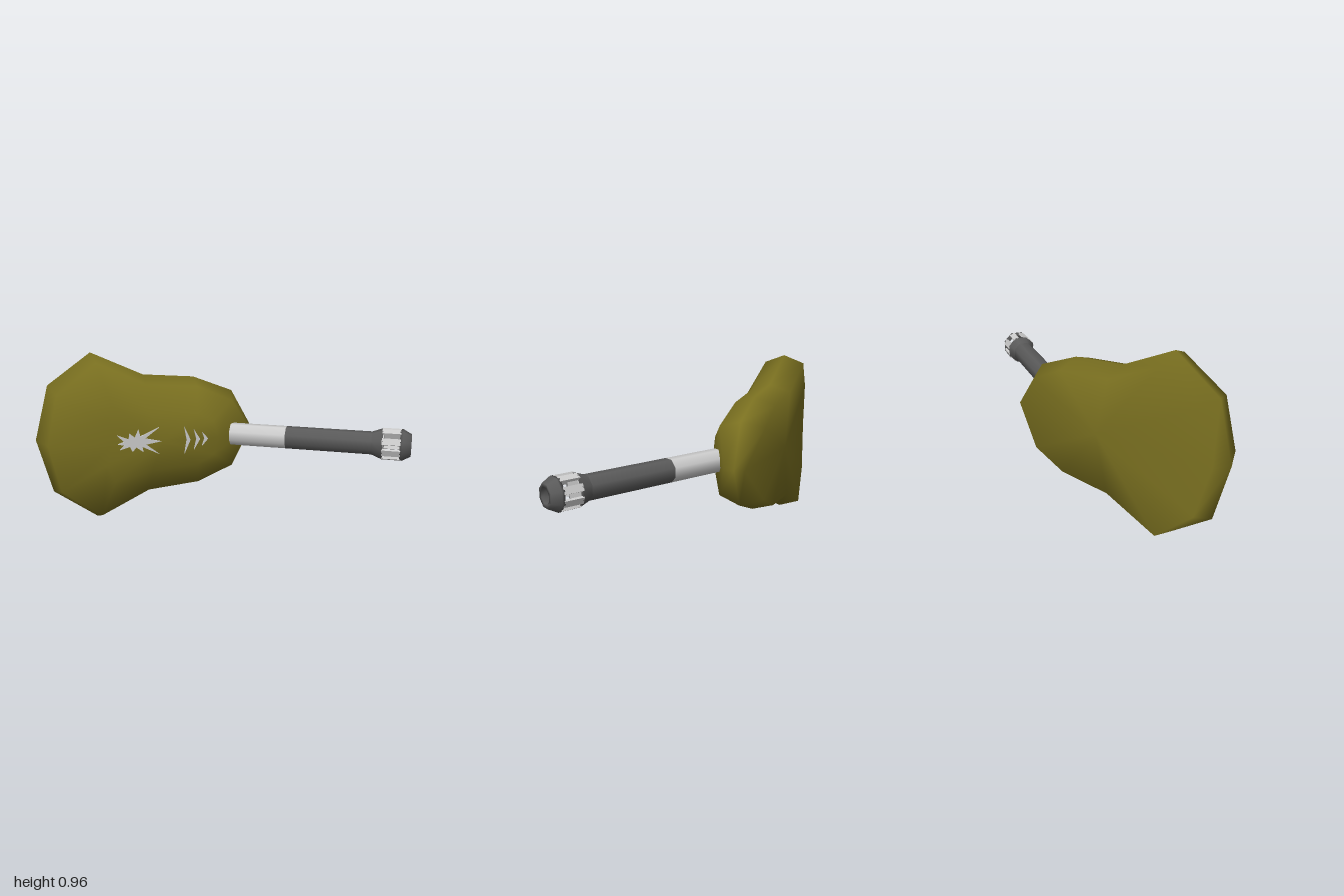
import * as THREE from 'three';

const mat = (name, color, side = THREE.FrontSide) => {
  const m = new THREE.MeshStandardMaterial({ color, side });
  m.name = name;
  return m;
};
const CY = 0.483; // height of the mirror plane

// Turns half-rings (upper edge, left tip to right tip) into a closed, smooth skin
function skin(halfRings, frontCentre, backCentre) {
  const rings = halfRings.map(h => {
    const lower = h.slice(1, -1).reverse().map(([x, y, z]) => [x, 2 * CY - y, z]);
    return [...h, ...lower];
  });
  const n = rings[0].length;
  const pos = [...rings.flat(2), ...frontCentre, ...backCentre];
  const front = rings.length * n, back = front + 1, last = (rings.length - 1) * n;
  const idx = [];
  for (let i = 0; i < n; i++) {
    const j = (i + 1) % n;
    for (let r = 0; r < rings.length - 1; r++) {
      const a = r * n + i, b = r * n + j;
      idx.push(a, b, a + n, b, b + n, a + n);
    }
    idx.push(front, j, i, back, last + i, last + j);
  }
  const g = new THREE.BufferGeometry();
  g.setAttribute('position', new THREE.Float32BufferAttribute(pos, 3));
  g.setIndex(idx);
  g.computeVertexNormals();
  return g;
}

export function createModel() {
  const olive = mat('olive', 0x7a7020);
  const light = mat('light metal', 0xcccccc);
  const dark = mat('dark metal', 0x5a5a5a);
  const model = new THREE.Group();
  const add = (parent, name, geo, material) => {
    const m = new THREE.Mesh(geo, material);
    m.name = name;
    parent.add(m);
    return m;
  };

  // Lumpy body: rings from the flat front face to the flat back
  add(model, 'body', skin([
    [[-0.6, CY, -0.09], [-0.63, 0.6, -0.095], [-0.59, 0.7, -0.09], [-0.38, 0.65, -0.09],
      [-0.12, 0.63, -0.09], [-0.03, 0.58, -0.09], [0, CY, -0.09]],
    [[-0.94, CY, -0.145], [-0.88, 0.755, -0.16], [-0.66, 0.92, -0.18], [-0.39, 0.79, -0.18],
      [-0.1, 0.765, -0.18], [0.1, 0.675, -0.165], [0.23, CY, -0.235]],
    [[-1, CY, -0.295], [-0.92, 0.79, -0.29], [-0.68, 0.963, -0.29], [-0.39, 0.827, -0.29],
      [-0.1, 0.802, -0.29], [0.13, 0.71, -0.29], [0.255, CY, -0.3]],
    [[-0.94, CY, -0.36], [-0.87, 0.755, -0.38], [-0.68, 0.92, -0.41], [-0.39, 0.79, -0.41],
      [-0.1, 0.765, -0.41], [0.08, 0.68, -0.41], [0.24, CY, -0.355]],
  ], [-0.32, CY, -0.09], [-0.32, CY, -0.41]), olive);

  // Thin plates on the front face
  const plate = (name, pts) => {
    const shape = new THREE.Shape(pts.map(p => new THREE.Vector2(...p)));
    const g = new THREE.ExtrudeGeometry(shape, { depth: 0.01, bevelEnabled: false });
    add(model, name, g, light).position.z = -0.091;
  };
  plate('burstMark', [
    [-0.33, 0.485], [-0.42, 0.507], [-0.34, 0.565], [-0.445, 0.52], [-0.455, 0.56], [-0.475, 0.515],
    [-0.505, 0.54], [-0.51, 0.507], [-0.575, 0.535], [-0.535, 0.495], [-0.57, 0.483], [-0.535, 0.475],
    [-0.56, 0.45], [-0.505, 0.465], [-0.49, 0.435], [-0.47, 0.46], [-0.43, 0.43], [-0.435, 0.46],
    [-0.34, 0.412], [-0.415, 0.472],
  ]);
  for (const [x, h] of [[-0.2, 0.08], [-0.145, 0.06], [-0.098, 0.04]]) {
    plate('chevronMark', [[x, CY + h], [x + 0.014, CY], [x, CY - h], [x + 0.036, CY]]);
  }

  // Rod, built along local y and swung 30 degrees out of the face
  const rod = new THREE.Group();
  rod.name = 'rod';
  rod.position.set(0.37, 0.484, 0.01);
  rod.rotation.set(0, -Math.PI / 6, -Math.PI / 2, 'YXZ');
  model.add(rod);
  const R = 0.064, H = 0.087;
  const tube = (name, r0, r1, y0, y1, material) => {
    const g = new THREE.CylinderGeometry(r1, r0, y1 - y0, 8, 1, false, Math.PI / 8);
    return add(rod, name, g, material).position.y = (y0 + y1) / 2;
  };
  tube('rodBase', R, R, -0.32, 0, light);
  tube('rodGrip', R, R, 0, 0.475, dark);
  tube('tipFlare', R, H, 0.475, 0.535, dark);
  tube('tipFloor', 0.07, 0.07, 0.535, 0.539, light);

  // Slotted cage of eight bars between the flare and the end ring
  for (let i = 0; i < 8; i++) {
    const a = Math.PI / 8 + i * Math.PI / 4;
    const bar = add(rod, 'cageBar', new THREE.BoxGeometry(0.036, 0.1, 0.014), light);
    bar.position.set(Math.sin(a) * 0.078, 0.58, Math.cos(a) * 0.078);
    bar.rotation.y = a;
  }

  // Hollow, tapering end ring
  const profile = [[0.062, 0.625], [H, 0.625], [H, 0.64], [0.062, 0.686], [0.042, 0.686], [0.062, 0.625]];
  add(rod, 'endRing', new THREE.LatheGeometry(
    profile.map(p => new THREE.Vector2(...p)), 8, Math.PI / 8), dark);

  return model;
}
